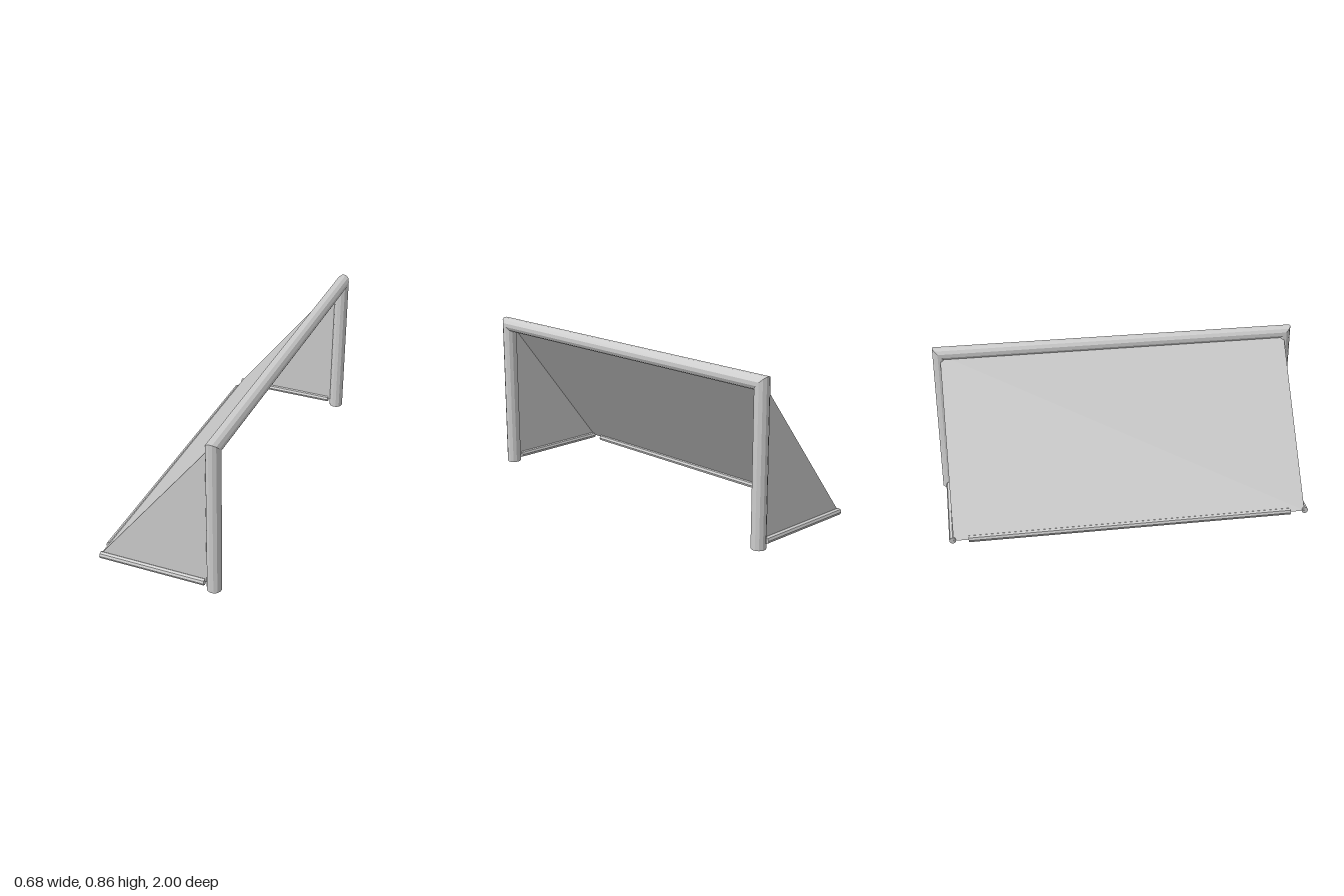
import * as THREE from 'three';

export function createModel() {
  const group = new THREE.Group();
  const frameGrey = new THREE.MeshStandardMaterial({ color: 0xcccccc });
  frameGrey.name = 'frameGrey';
  frameGrey.flatShading = true;
  const netGrey = new THREE.MeshStandardMaterial({ color: 0xcccccc, side: THREE.DoubleSide });
  netGrey.name = 'netGrey';

  const add = (name, geometry, material) => {
    const mesh = new THREE.Mesh(geometry, material);
    mesh.name = name;
    group.add(mesh);
    return mesh;
  };

  // Goal frame: one 12-sided tube swept up, across and down with mitred corners
  const SIDES = 12, R = 0.0385, postX = 0.3, postZ = 0.9625, barY = 0.825;
  const ring = (station, i) => {
    const a = ((i + 0.5) / SIDES) * Math.PI * 2;
    const out = R * Math.cos(a), x = postX + R * Math.sin(a);
    const side = station < 2 ? 1 : -1;
    const y = station === 0 || station === 3 ? 0 : barY + out;
    return [x, y, side * (postZ + out)];
  };
  const section = (s) => {
    const pos = [];
    for (let i = 0; i < SIDES; i++) {
      const a = ring(s, i), b = ring(s, i + 1), c = ring(s + 1, i + 1), d = ring(s + 1, i);
      pos.push(...a, ...b, ...c, ...a, ...c, ...d);
    }
    // Caps on the feet of the posts
    if (s !== 1) {
      const foot = s === 0 ? 0 : 3, z = s === 0 ? postZ : -postZ;
      for (let i = 0; i < SIDES; i++) {
        const a = ring(foot, i), b = ring(foot, i + 1);
        pos.push(postX, 0, z, ...(s === 0 ? b : a), ...(s === 0 ? a : b));
      }
    }
    const g = new THREE.BufferGeometry();
    g.setAttribute('position', new THREE.Float32BufferAttribute(pos, 3));
    g.computeVertexNormals();
    return g;
  };
  ['leftPost', 'crossbar', 'rightPost'].forEach((name, s) => {
    add(name === 'leftPost' ? 'frontPost' : name === 'rightPost' ? 'backPost' : name, section(s), frameGrey);
  });

  // Ground bars
  const bar = (length) => new THREE.CylinderGeometry(0.0185, 0.0185, length, 8);
  const rear = add('rearGroundBar', bar(1.76), frameGrey);
  rear.rotation.x = Math.PI / 2;
  rear.position.set(-0.323, 0.026, 0);
  for (const s of [1, -1]) {
    const b = add(s > 0 ? 'frontGroundBar' : 'backGroundBar', bar(0.577), frameGrey);
    b.rotation.z = Math.PI / 2;
    b.position.set(-0.04, 0.026, s * 0.9635);
  }

  // Net: sloping back sheet and two triangular ends
  const netZ = 0.96, low = [-0.331, 0.026], high = [0.288, 0.825];
  const sheet = (points, index) => {
    const g = new THREE.BufferGeometry();
    g.setAttribute('position', new THREE.Float32BufferAttribute(points.flat(), 3));
    g.setIndex(index);
    g.computeVertexNormals();
    return g;
  };
  add('backNet', sheet(
    [[...low, netZ], [...high, netZ], [...high, -netZ], [...low, -netZ]],
    [0, 1, 2, 0, 2, 3]), netGrey);
  for (const s of [1, -1]) {
    add(s > 0 ? 'frontSideNet' : 'backSideNet', sheet(
      [[...low, s * netZ], [high[0], low[1], s * netZ], [...high, s * netZ]],
      s > 0 ? [0, 1, 2] : [0, 2, 1]), netGrey);
  }
  return group;
}
